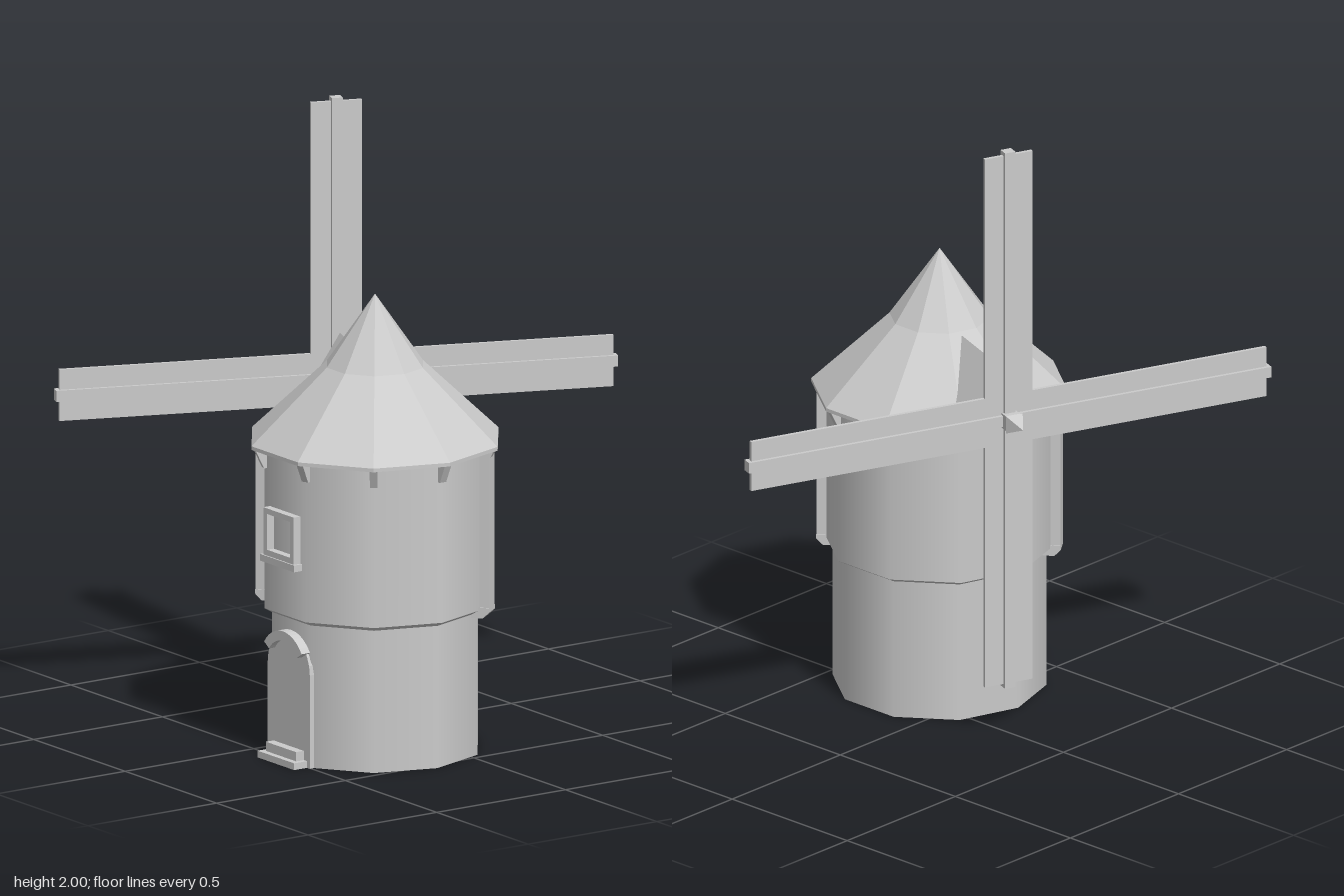
import * as THREE from 'three';

const SIDES = 10;
const smooth = new THREE.MeshStandardMaterial({ color: 0xcccccc, side: THREE.DoubleSide });
const flat = new THREE.MeshStandardMaterial({ color: 0xcccccc, side: THREE.DoubleSide, flatShading: true });

function add(parent, name, geometry, material = flat) {
  const mesh = new THREE.Mesh(geometry, material);
  mesh.name = name;
  parent.add(mesh);
  return mesh;
}

function box(parent, name, w, h, d, x, y, z) {
  const mesh = add(parent, name, new THREE.BoxGeometry(w, h, d));
  mesh.position.set(x, y, z);
  return mesh;
}

// Ten-sided turned surface with a corner on the +x axis
function turned(points) {
  return new THREE.LatheGeometry(points.map(p => new THREE.Vector2(...p)), SIDES, Math.PI / 2);
}

function polygon(points) {
  return new THREE.Shape(points.map(p => new THREE.Vector2(...p)));
}

function extrude(shape, depth, curveSegments = 6) {
  return new THREE.ExtrudeGeometry(shape, { depth, bevelEnabled: false, curveSegments });
}

// A (radius, height) outline given a width and turned to a compass angle
function radialSlab(parent, name, outline, width, angle) {
  const geometry = extrude(polygon(outline), width);
  geometry.translate(0, 0, -width / 2);
  add(parent, name, geometry).rotation.y = angle;
}

function buildTower() {
  const tower = new THREE.Group();
  tower.name = 'tower';
  add(tower, 'lowerWall', turned([[0.342, 0], [0.342, 0.48]]), smooth);
  add(tower, 'wallStep', turned([[0.342, 0.465], [0.367, 0.48]]));
  add(tower, 'upperWall', turned([[0.367, 0.48], [0.367, 1.01]]), smooth);
  add(tower, 'roof', turned([[0.35, 1.0], [0.41, 1.0], [0.41, 1.012], [0.16, 1.25], [0, 1.48]]));

  // Eave brackets under every roof corner
  for (let i = 0; i < SIDES; i++) {
    radialSlab(tower, 'eaveBracket', [[0.35, 0.94], [0.372, 0.94], [0.4, 1.0], [0.35, 1.0]],
      0.025, i * Math.PI * 2 / SIDES);
  }

  // Two opposite wall posts with a stepped foot
  for (const angle of [Math.PI / 5, Math.PI * 6 / 5]) {
    radialSlab(tower, 'wallPost', [[0.33, 0.48], [0.39, 0.48], [0.39, 1.0], [0.33, 1.0]], 0.055, angle);
    radialSlab(tower, 'postFoot', [[0.32, 0.455], [0.37, 0.455], [0.39, 0.475], [0.39, 0.49], [0.32, 0.49]],
      0.062, angle);
  }
  return tower;
}

function buildDoor() {
  const door = new THREE.Group();
  door.name = 'door';
  const panel = new THREE.Shape();
  panel.moveTo(-0.115, 0);
  panel.lineTo(0.115, 0);
  panel.lineTo(0.115, 0.305);
  panel.absarc(0, 0.305, 0.115, 0, Math.PI, false);
  panel.lineTo(-0.115, 0);
  add(door, 'doorPanel', extrude(panel, 0.055)).position.z = 0.28;

  // Projecting stone hood over the arch
  const hood = new THREE.Shape();
  hood.absarc(0, 0.305, 0.124, 0.6, Math.PI - 0.6, false);
  hood.absarc(0, 0.305, 0.092, Math.PI - 0.6, 0.6, true);
  add(door, 'doorHood', extrude(hood, 0.04)).position.z = 0.318;

  box(door, 'lowerStep', 0.2, 0.022, 0.07, 0, 0.011, 0.35);
  box(door, 'upperStep', 0.165, 0.03, 0.05, 0, 0.037, 0.34);
  return door;
}

function buildWindow() {
  const group = new THREE.Group();
  group.name = 'window';
  const frame = polygon([[-0.083, 0.663], [0.083, 0.663], [0.083, 0.82], [-0.083, 0.82]]);
  frame.holes.push(polygon([[-0.062, 0.685], [-0.062, 0.802], [0.062, 0.802], [0.062, 0.685]]));
  add(group, 'windowFrame', extrude(frame, 0.035)).position.z = 0.34;
  box(group, 'windowSill', 0.185, 0.022, 0.05, 0, 0.655, 0.355);
  return group;
}

// Gable, hub and sails, built facing local +z
function buildSailAssembly() {
  const assembly = new THREE.Group();
  assembly.name = 'sailAssembly';
  const gable = polygon([[-0.14, 1.01], [0.14, 1.01], [0, 1.24]]);
  add(assembly, 'gable', extrude(gable, 0.32)).position.z = 0.13;

  const centreY = 1.082;
  box(assembly, 'hubShaft', 0.05, 0.05, 0.15, 0, centreY, 0.475);
  const nose = new THREE.CylinderGeometry(0, 0.042, 0.065, 4);
  nose.rotateY(Math.PI / 4).rotateX(Math.PI / 2);
  add(assembly, 'hubNose', nose).position.set(0, centreY, 0.578);

  for (let i = 0; i < 4; i++) {
    const sail = new THREE.Group();
    sail.name = 'sail';
    sail.position.set(0, centreY, 0.5);
    sail.rotation.z = i * Math.PI / 2;
    box(sail, 'sailBoard', 0.168, 0.905, 0.012, 0, 0.4525, 0);
    box(sail, 'sailSpar', 0.036, 0.918, 0.034, 0, 0.459, 0);
    assembly.add(sail);
  }
  assembly.rotation.y = Math.atan2(-0.933, -0.36);
  return assembly;
}

export function createModel() {
  const model = new THREE.Group();
  model.name = 'windmill';
  model.add(buildTower(), buildDoor(), buildWindow(), buildSailAssembly());
  for (const part of model.children) part.position.set(0.198, 0, 0.17);
  return model;
}
